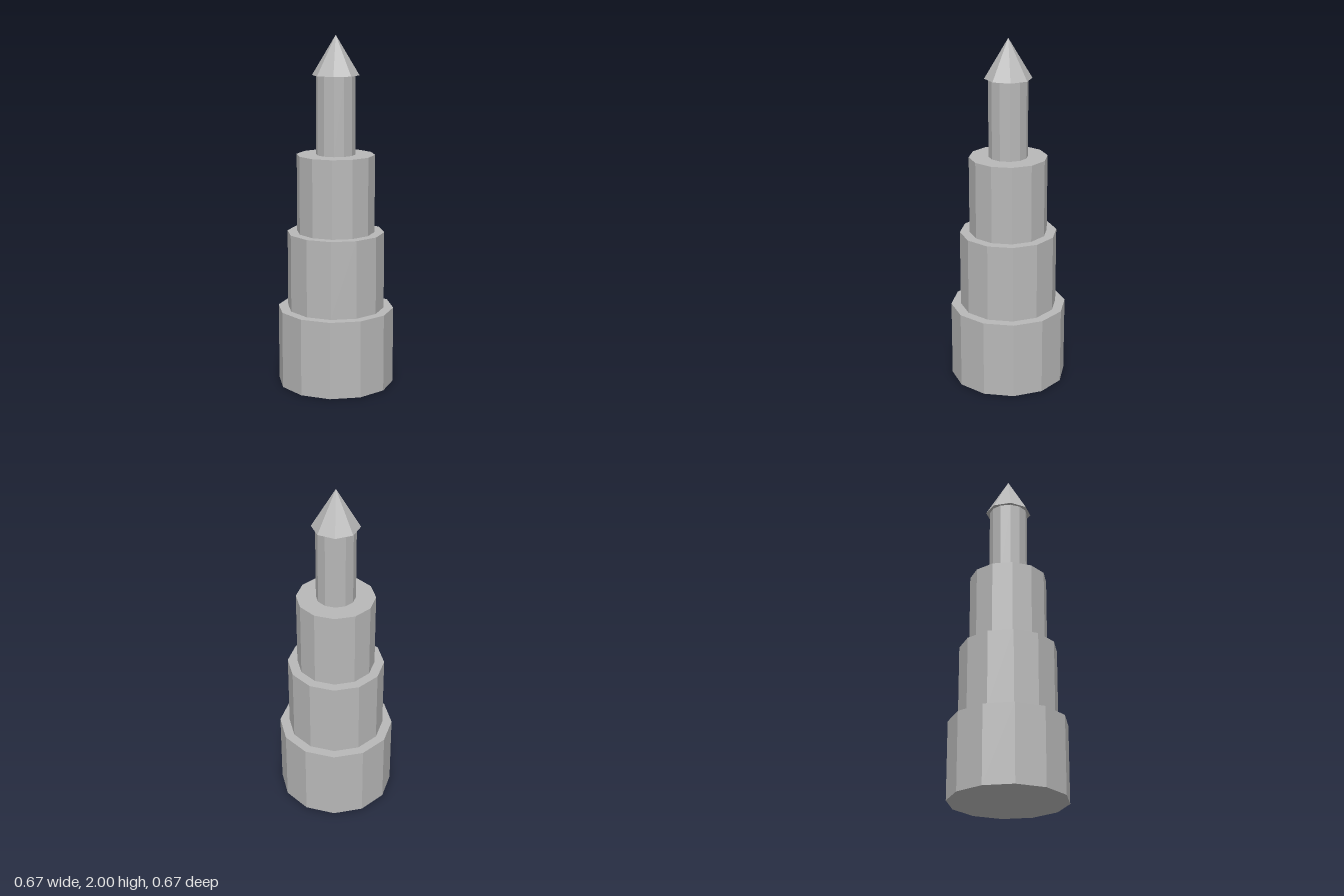
import * as THREE from 'three';

export function createModel() {
  const model = new THREE.Group();
  model.name = 'tieredTower';

  const stone = new THREE.MeshStandardMaterial({ color: 0xb8b8b8 });
  stone.name = 'grey stone';
  stone.flatShading = true;

  const add = (name, geometry, y) => {
    const mesh = new THREE.Mesh(geometry, stone);
    mesh.name = name;
    mesh.position.y = y;
    model.add(mesh);
  };

  // Four equal-height, twelve-sided tiers, narrowing upwards
  const tierHeight = 4 / 9;
  const tiers = [
    ['baseTier', 0.3333],
    ['lowerTier', 0.2778],
    ['upperTier', 0.2222],
    ['spireShaft', 0.1111],
  ];
  tiers.forEach(([name, radius], i) => {
    add(name, new THREE.CylinderGeometry(radius, radius, tierHeight, 12), (i + 0.5) * tierHeight);
  });

  // Eight-sided pointed cap overhanging the shaft
  const capHeight = 2 / 9;
  add('spireCap', new THREE.ConeGeometry(0.1333, capHeight, 8), 4 * tierHeight + capHeight / 2);

  return model;
}
